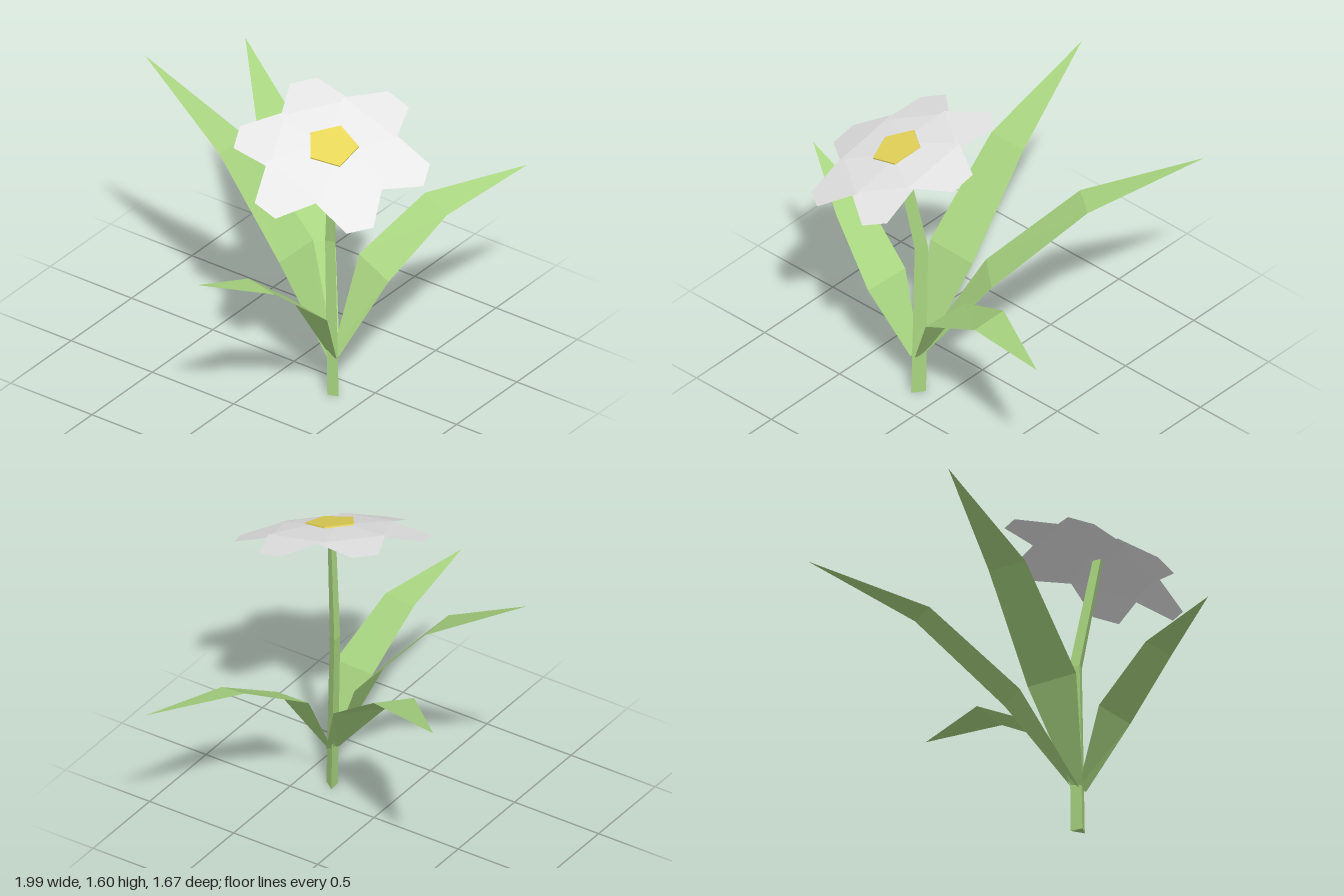
import * as THREE from 'three';

const paint = (name, color) => {
  const m = new THREE.MeshStandardMaterial({ color, side: THREE.DoubleSide, flatShading: true });
  m.name = name;
  return m;
};

// Surface through equal-sized cross-sections; closed joins each section into a ring.
function loft(sections, closed = false) {
  const n = sections[0].length, index = [];
  for (let s = 0; s < sections.length - 1; s++) {
    for (let i = 0; i < (closed ? n : n - 1); i++) {
      const a = s * n + i, b = s * n + (i + 1) % n;
      index.push(a, b, b + n, a, b + n, a + n);
    }
  }
  const g = new THREE.BufferGeometry();
  g.setAttribute('position', new THREE.Float32BufferAttribute(sections.flat(2), 3));
  g.setIndex(index);
  const flat = g.toNonIndexed();
  flat.computeVertexNormals();
  return flat;
}

export function createModel() {
  const model = new THREE.Group();
  model.name = 'flower';
  const green = paint('leafGreen', 0xa8d480);
  const white = paint('petalWhite', 0xf0f0f0);
  const yellow = paint('centreYellow', 0xeedc5c);

  const add = (parent, name, geometry, material) => {
    const mesh = new THREE.Mesh(geometry, material);
    mesh.name = name;
    parent.add(mesh);
    return mesh;
  };

  // Three-sided stem with one bend
  const ring = (x, y, z, k) => [[-0.01, 0.038], [0.035, -0.022], [-0.03, -0.017]]
    .map(([dx, dz]) => [x + dx * k, y, z + dz * k]);
  const stemRings = [ring(-0.125, 0, 0.337, 1), ring(-0.123, 0.885, 0.318, 0.9), ring(-0.203, 1.475, 0.393, 0.7)];
  add(model, 'stem', loft([...stemRings].reverse(), true), green);
  const [a, b, c] = stemRings[0];
  add(model, 'stemBase', loft([[b, a], [c, c]]), green);

  // Leaves: pairs of edge points from the stem outward, ending in a tip
  const leaves = {
    backLeaf: [
      [[-0.16, 0.225, 0.32], [-0.1, 0.225, 0.32]],
      [[-0.257, 0.735, 0.1], [0.025, 0.728, 0.1]],
      [[-0.214, 1.197, -0.3], [0, 1.197, -0.3]],
      [[-0.103, 1.515, -0.84]],
    ],
    backLeftLeaf: [
      [[-0.14, 0.225, 0.315], [-0.095, 0.225, 0.35]],
      [[-0.02, 0.65, -0.047], [0.175, 0.67, 0.125]],
      [[0.271, 1.02, -0.42], [0.438, 1.035, -0.29]],
      [[0.72, 1.216, -0.835]],
    ],
    rightLeaf: [
      [[-0.135, 0.225, 0.315], [-0.145, 0.22, 0.37]],
      [[-0.315, 0.593, 0.22], [-0.345, 0.575, 0.46]],
      [[-0.615, 0.848, 0.177], [-0.645, 0.837, 0.365]],
      [[-0.997, 0.987, 0.148]],
    ],
    leftLeaf: [
      [[-0.1, 0.23, 0.315], [-0.12, 0.22, 0.365]],
      [[0.148, 0.655, 0.29], [0.09, 0.605, 0.515]],
      [[0.522, 0.873, 0.418], [0.48, 0.825, 0.585]],
      [[0.995, 0.902, 0.694]],
    ],
  };
  for (const [name, rows] of Object.entries(leaves)) {
    add(model, name, loft(rows.map((r) => (r.length === 1 ? [r[0], r[0]] : r))), green);
  }

  // Tilted flower head
  const head = new THREE.Group();
  head.name = 'flowerHead';
  head.position.set(-0.207, 1.482, 0.388);
  head.quaternion.setFromUnitVectors(new THREE.Vector3(0, 1, 0), new THREE.Vector3(-0.3, 1, 0.255).normalize());
  model.add(head);

  // Six drooping petals, narrow inside, widest past the middle, blunt at the tip
  const petal = loft([[0, 0, 0.045], [0.275, -0.024, 0.18], [0.482, -0.07, 0.07]]
    .map(([r, y, w]) => [[r, y, w], [r, y, -w]]));
  const lift = [0.01, 0, 0.004, 0.01, 0, 0.004];
  for (let i = 0; i < 6; i++) {
    const mesh = add(head, 'petal', petal, white);
    mesh.rotation.y = -(i * Math.PI / 3 + 0.11);
    mesh.position.y = lift[i];
  }

  // Five-sided flower centre
  const disc = add(head, 'flowerCentre', new THREE.CylinderGeometry(0.132, 0.132, 0.008, 5), yellow);
  disc.rotation.y = Math.PI;
  disc.position.y = 0.014;
  return model;
}
